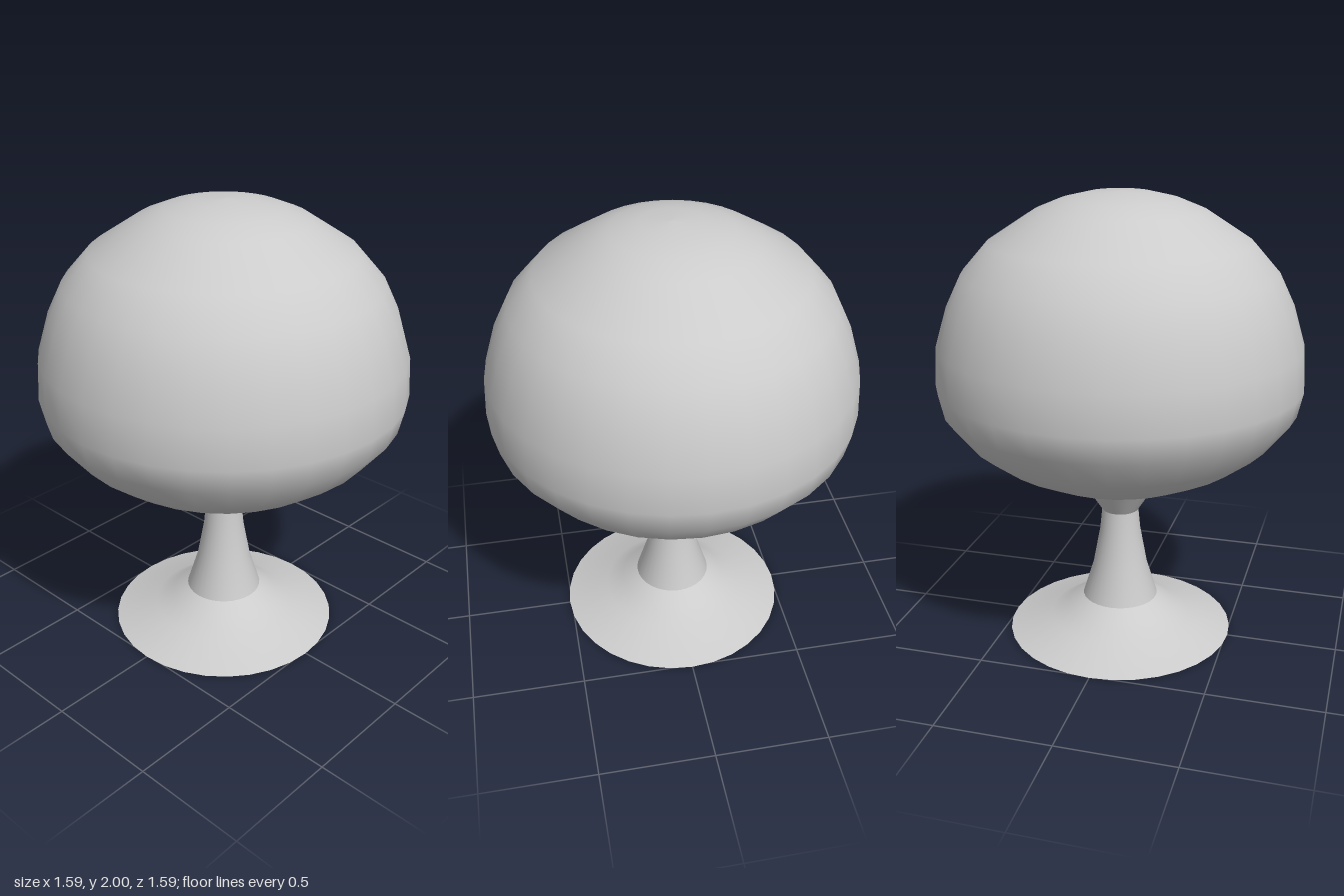
import * as THREE from 'three';

const SIDES = 32;

// Revolves a [radius, height] profile, listed from bottom to top.
function turned(name, profile) {
  const points = profile.map(([r, y]) => new THREE.Vector2(r, y));
  const material = new THREE.MeshStandardMaterial({ color: 0xcccccc, side: THREE.DoubleSide });
  const mesh = new THREE.Mesh(new THREE.LatheGeometry(points, SIDES), material);
  mesh.name = name;
  return mesh;
}

export function createModel() {
  const model = new THREE.Group();
  model.name = 'pedestalGlobe';

  model.add(
    // Flared foot, a thin shell open underneath
    turned('foot', [[0.51, 0], [0.32, 0.06], [0.24, 0.113], [0.17, 0.157]]),
    // Hollow tapering stem
    turned('stem', [[0.17, 0.157], [0.123, 0.31], [0.092, 0.48], [0.082, 0.58]]),
    // Collar flaring out to the globe
    turned('collar', [[0.082, 0.58], [0.15, 0.685]]),
    // Rounded globe, widest below its middle
    turned('globe', [
      [0.15, 0.685], [0.39, 0.783], [0.545, 0.86], [0.665, 0.95], [0.77, 1.08],
      [0.795, 1.19], [0.786, 1.36], [0.735, 1.53], [0.67, 1.665], [0.56, 1.79],
      [0.36, 1.92], [0.25, 1.965], [0.13, 1.993], [0, 2],
    ]),
  );
  return model;
}
